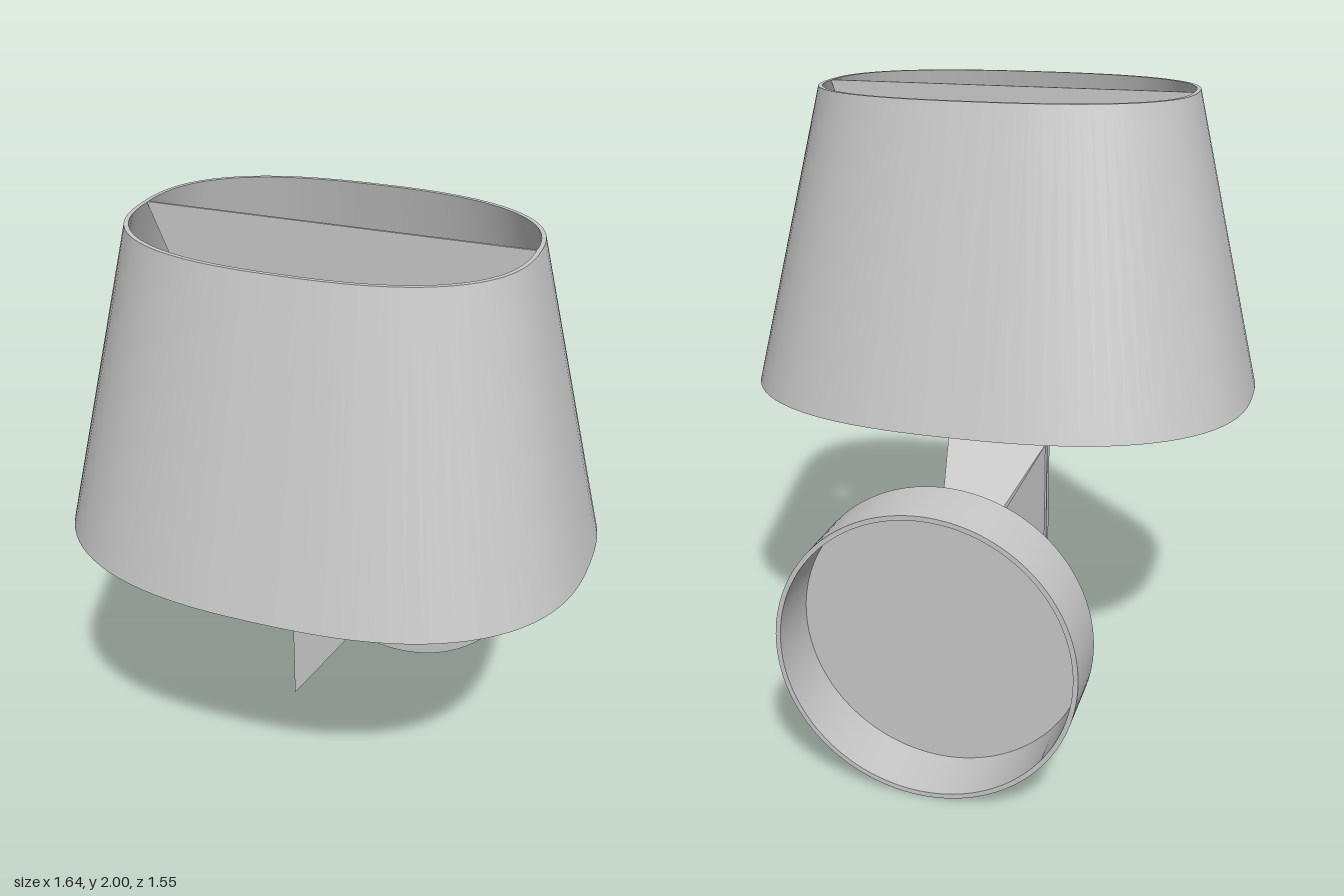
import * as THREE from 'three';
import { mergeGeometries, toCreasedNormals } from 'three/addons/utils/BufferGeometryUtils.js';

const SHADE_Z = 0.15;
const SEGMENTS = 96;

// One smooth band between two rounded-oval rings [halfWidth, halfDepth, height]
function ovalBand(lower, upper) {
  const positions = [], index = [];
  const soft = (v) => Math.sign(v) * Math.pow(Math.abs(v), 0.8);
  for (const [a, b, y] of [lower, upper]) {
    for (let i = 0; i < SEGMENTS; i++) {
      const t = (i / SEGMENTS) * Math.PI * 2;
      positions.push(a * soft(Math.cos(t)), y, SHADE_Z + b * soft(Math.sin(t)));
    }
  }
  for (let i = 0; i < SEGMENTS; i++) {
    const j = (i + 1) % SEGMENTS;
    index.push(i, i + SEGMENTS, j, j, i + SEGMENTS, j + SEGMENTS);
  }
  const g = new THREE.BufferGeometry();
  g.setAttribute('position', new THREE.Float32BufferAttribute(positions, 3));
  g.setIndex(index);
  g.computeVertexNormals();
  return g;
}

// Flat-faced loft between two triangles, twisting from front to back
function twistedArm(front, back) {
  const positions = [];
  const tri = (...points) => points.forEach((p) => positions.push(...p));
  for (let i = 0; i < 3; i++) {
    const j = (i + 1) % 3;
    tri(front[i], front[j], back[j]);
    tri(front[i], back[j], back[i]);
  }
  tri(front[0], front[2], front[1]);
  tri(back[0], back[1], back[2]);
  const g = new THREE.BufferGeometry();
  g.setAttribute('position', new THREE.Float32BufferAttribute(positions, 3));
  g.computeVertexNormals();
  return g;
}

export function createModel() {
  const model = new THREE.Group();
  model.name = 'wallLamp';
  const grey = new THREE.MeshStandardMaterial({ color: 0xc8c8c8, side: THREE.DoubleSide });
  grey.name = 'lightGrey';
  const add = (name, geometry) => {
    const mesh = new THREE.Mesh(geometry, grey);
    mesh.name = name;
    model.add(mesh);
    return mesh;
  };

  // Tapered oval shade with a thin wall, open at both ends
  const rings = [
    [0.82, 0.625, 1.045],
    [0.6, 0.4, 2],
    [0.587, 0.387, 2],
    [0.807, 0.612, 1.045],
  ];
  add('shade', mergeGeometries(rings.map((ring, i) => ovalBand(ring, rings[(i + 1) % rings.length]))));

  // Thin upright sheet that carries the shade
  const sheet = new THREE.Shape([
    [-0.59, 2], [-0.145, 0.92], [-0.145, 0.3], [0.21, 0.82], [0.59, 2],
  ].map(([x, y]) => new THREE.Vector2(x, y)));
  add('shadeSupport', new THREE.ExtrudeGeometry(sheet, { depth: 0.008, bevelEnabled: false }))
    .position.z = 0.134;

  // Faceted arm from the support back to the wall mount
  add('arm', twistedArm(
    [[-0.145, 0.82, 0.168], [0.213, 0.82, 0.168], [-0.145, 0.3, 0.168]],
    [[-0.015, 0.555, -0.565], [0.04, 0.5, -0.565], [-0.39, 0.22, -0.565]],
  ));

  // Round wall mount: a disc with a deep rim, hollow at the back
  const rim = new THREE.Shape().absarc(0, 0, 0.462, 0, Math.PI * 2);
  rim.holes.push(new THREE.Path().absarc(0, 0, 0.447, 0, Math.PI * 2, true));
  const rimGeometry = new THREE.ExtrudeGeometry(rim, { depth: 0.215, bevelEnabled: false, curveSegments: 64 });
  add('mountRim', toCreasedNormals(rimGeometry, 0.5)).position.set(0, 0.463, -0.78);
  const disc = new THREE.CylinderGeometry(0.45, 0.45, 0.02, 64).rotateX(Math.PI / 2);
  add('mountDisc', disc).position.set(0, 0.463, -0.575);

  return model;
}
